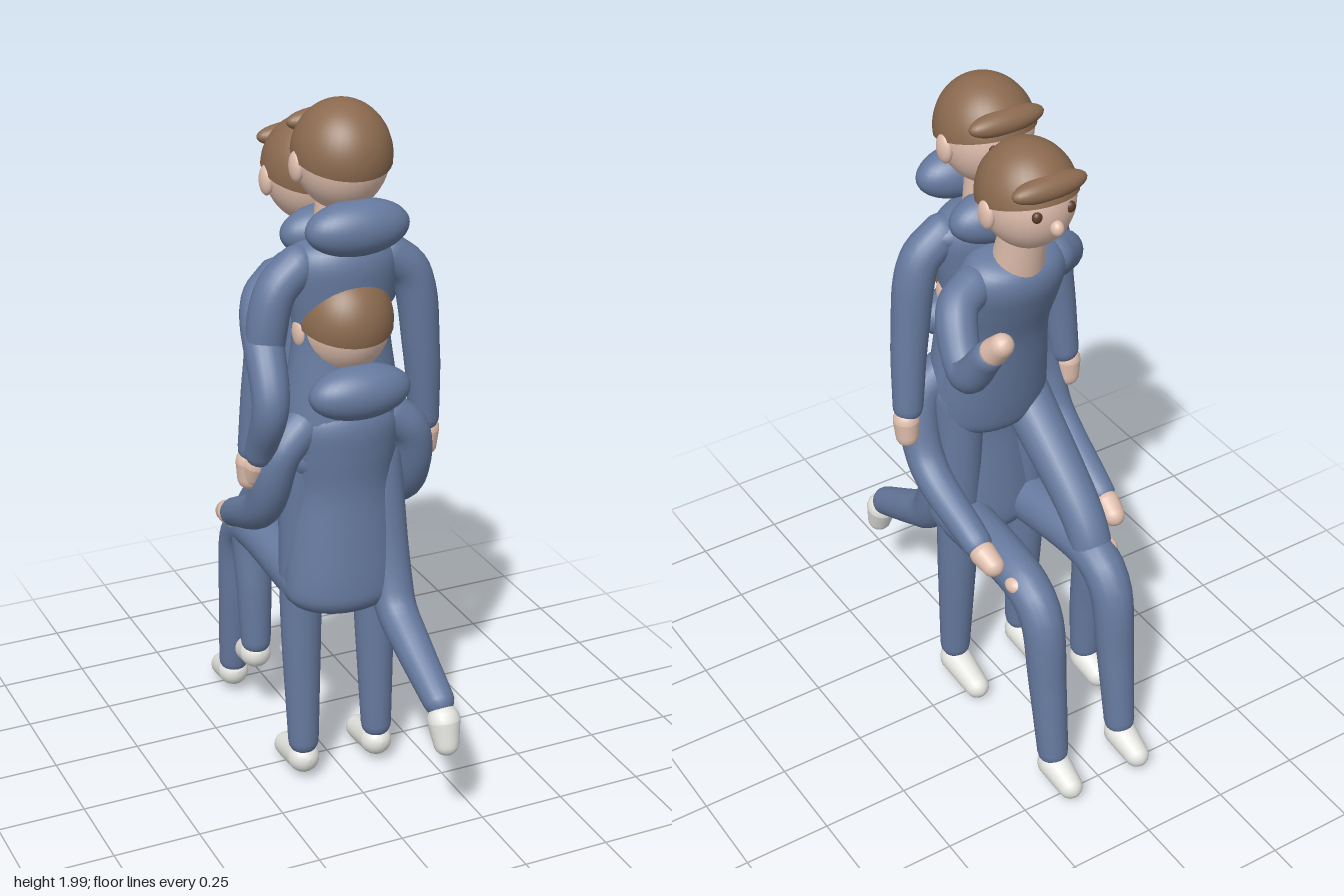
import * as THREE from 'three';

const flat = (name, color, side = THREE.FrontSide) => {
  const m = new THREE.MeshStandardMaterial({ color, side });
  m.name = name;
  return m;
};
const suit = flat('suit blue', 0x667a9f);
const skin = flat('skin', 0xe0bfae);
const hairMat = flat('hair brown', 0x8b6a4f, THREE.DoubleSide);
const shoe = flat('shoe white', 0xe4e4e0);
const eyeMat = flat('eye brown', 0x5b3d28);

function add(parent, name, geo, mat, pos = [0, 0, 0], scale = [1, 1, 1]) {
  const m = new THREE.Mesh(geo, mat);
  m.name = name;
  m.position.set(...pos);
  m.scale.set(...scale);
  parent.add(m);
  return m;
}

// Tapered tube with rounded ends through a few joints
function limb(points, radii) {
  const curve = new THREE.CatmullRomCurve3(points.map((p) => new THREE.Vector3(...p)), false, 'centripetal');
  const n = 28, sides = 18, capSteps = 5;
  const frames = curve.computeFrenetFrames(n, false);
  const rings = [];
  const ring = (i, shift, radius) => rings.push({ c: curve.getPointAt(i / n).addScaledVector(frames.tangents[i], shift), i, radius });
  const r0 = radii[0], r1 = radii[radii.length - 1];
  for (let k = 0; k < capSteps; k++) {
    const a = (Math.PI / 2) * (1 - k / capSteps);
    ring(0, -r0 * Math.sin(a), Math.max(r0 * Math.cos(a), 1e-4));
  }
  for (let i = 0; i <= n; i++) {
    const f = (i / n) * (radii.length - 1), j = Math.min(Math.floor(f), radii.length - 2);
    ring(i, 0, THREE.MathUtils.lerp(radii[j], radii[j + 1], f - j));
  }
  for (let k = 1; k <= capSteps; k++) {
    const a = (Math.PI / 2) * (k / capSteps);
    ring(n, r1 * Math.sin(a), Math.max(r1 * Math.cos(a), 1e-4));
  }
  const pos = [], idx = [];
  rings.forEach(({ c, i, radius }, row) => {
    for (let s = 0; s < sides; s++) {
      const a = (s / sides) * Math.PI * 2;
      const p = c.clone().addScaledVector(frames.normals[i], Math.cos(a) * radius)
        .addScaledVector(frames.binormals[i], Math.sin(a) * radius);
      pos.push(p.x, p.y, p.z);
      if (row) {
        const t = (s + 1) % sides, lo = (row - 1) * sides, hi = row * sides;
        idx.push(lo + s, lo + t, hi + s, lo + t, hi + t, hi + s);
      }
    }
  });
  const g = new THREE.BufferGeometry();
  g.setAttribute('position', new THREE.Float32BufferAttribute(pos, 3));
  g.setIndex(idx);
  g.computeVertexNormals();
  return g;
}

const ball = new THREE.SphereGeometry(1, 32, 24);
const cap = new THREE.SphereGeometry(1, 32, 20, 0, Math.PI * 2, 0, Math.PI / 2);

// Head faces -z
function head(parent, y, z) {
  const g = new THREE.Group();
  g.name = 'head';
  g.position.set(0, y, z);
  add(g, 'skull', ball, skin, [0, 0, 0], [0.124, 0.145, 0.135]);
  add(g, 'hair', cap, hairMat, [0, 0, 0], [0.132, 0.147, 0.143]).rotation.x = 0.25;
  add(g, 'fringe', ball, hairMat, [0, 0.068, -0.102], [0.11, 0.034, 0.038]);
  add(g, 'nose', ball, skin, [0, -0.035, -0.137], [0.018, 0.022, 0.02]);
  for (const s of [-1, 1]) {
    add(g, 'ear', ball, skin, [s * 0.125, -0.02, -0.005], [0.018, 0.042, 0.03]);
    add(g, 'eye', ball, eyeMat, [s * 0.05, 0.005, -0.122], [0.014, 0.016, 0.012]);
  }
  parent.add(g);
}

// Torso, neck and hood, tilted about the hips
const torsoProfile = new THREE.SplineCurve([
  [0.001, -0.07], [0.11, -0.065], [0.165, -0.03], [0.172, 0.03], [0.155, 0.16], [0.137, 0.3],
  [0.15, 0.41], [0.155, 0.49], [0.125, 0.54], [0.06, 0.56], [0.001, 0.56],
].map((p) => new THREE.Vector2(...p)));
const torsoGeo = new THREE.LatheGeometry(torsoProfile.getPoints(44), 36);
function trunk(parent, y, z, lean) {
  const g = new THREE.Group();
  g.name = 'trunk';
  g.position.set(0, y, z);
  g.rotation.x = lean;
  add(g, 'torso', torsoGeo, suit, [0, 0, 0], [1, 1, 0.68]);
  add(g, 'shoulders', ball, suit, [0, 0.495, 0], [0.185, 0.055, 0.075]);
  add(g, 'neck', new THREE.CylinderGeometry(0.06, 0.072, 0.16, 24), skin, [0, 0.6, -0.015]);
  add(g, 'hood', ball, suit, [0, 0.605, 0.1], [0.145, 0.075, 0.075]);
  parent.add(g);
}

const side = (s, pts) => pts.map(([x, y, z]) => [s * x, y, z]);
// The last two points of an arm are the hand, of a leg the foot
function arm(parent, s, pts) {
  const p = side(s, pts);
  add(parent, 'arm', limb(p.slice(0, -2), [0.056, 0.056, 0.05, 0.042]), suit);
  add(parent, 'hand', limb(p.slice(-2), [0.037, 0.032]), skin);
}
function leg(parent, s, pts) {
  const p = side(s, pts);
  add(parent, 'leg', limb(p.slice(0, -2), [0.075, 0.064, 0.056, 0.044]), suit);
  add(parent, 'foot', limb(p.slice(-2), [0.046, 0.036]), shoe);
}

function figure(name) {
  const g = new THREE.Group();
  g.name = name;
  return g;
}

export function createModel() {
  const model = new THREE.Group();
  model.name = 'threeFigures';

  // Standing upright
  const stand = figure('standingFigure');
  trunk(stand, 1.08, 0.09, 0);
  head(stand, 1.853, 0.09);
  for (const s of [-1, 1]) {
    arm(stand, s, [[0.13, 1.57, 0.1], [0.195, 1.51, 0.105], [0.235, 1.28, 0.1], [0.255, 1.07, 0.085], [0.265, 1.03, 0.08], [0.265, 0.98, 0.077]]);
    leg(stand, s, [[0.1, 1.06, 0.075], [0.112, 0.6, 0.07], [0.115, 0.13, 0.09], [0.115, 0.072, 0.09], [0.115, 0.046, -0.03]]);
  }

  // Seated with hands by the knees
  const sit = figure('seatedFigure');
  trunk(sit, 0.63, 0.11, 0);
  head(sit, 1.405, 0.105);
  for (const s of [-1, 1]) {
    arm(sit, s, [[0.13, 1.12, 0.12], [0.19, 1.06, 0.125], [0.215, 0.88, 0.06], [0.205, 0.75, -0.18], [0.205, 0.735, -0.215], [0.2, 0.72, -0.255]]);
    leg(sit, s, [[0.1, 0.635, 0.1], [0.115, 0.64, -0.29], [0.115, 0.58, -0.365], [0.115, 0.35, -0.405], [0.115, 0.125, -0.435], [0.115, 0.08, -0.44], [0.115, 0.055, -0.525]]);
    add(sit, 'fingers', ball, skin, [s * 0.15, 0.658, -0.295], [0.03, 0.026, 0.034]);
  }

  // Running, leaning forward
  const run = figure('runningFigure');
  trunk(run, 1.02, 0.08, -0.25);
  head(run, 1.76, -0.108);
  arm(run, 1, [[0.13, 1.49, -0.05], [0.195, 1.46, -0.08], [0.24, 1.345, -0.2], [0.235, 1.45, -0.29], [0.23, 1.475, -0.31], [0.225, 1.51, -0.34]]);
  arm(run, -1, [[0.13, 1.49, -0.04], [0.2, 1.45, 0.02], [0.245, 1.23, 0.185], [0.25, 1.07, 0.12], [0.255, 1.03, 0.1], [0.258, 0.99, 0.085]]);
  leg(run, 1, [[0.1, 1.0, 0.09], [0.115, 0.65, 0.17], [0.115, 0.56, 0.215], [0.115, 0.5, 0.31], [0.115, 0.41, 0.475], [0.115, 0.365, 0.51], [0.115, 0.305, 0.528]]);
  leg(run, -1, [[0.1, 1.0, 0.06], [0.115, 0.73, -0.23], [0.115, 0.64, -0.275], [0.115, 0.45, -0.262], [0.115, 0.28, -0.255], [0.115, 0.235, -0.26], [0.115, 0.212, -0.325]]);

  model.add(stand, sit, run);
  return model;
}
